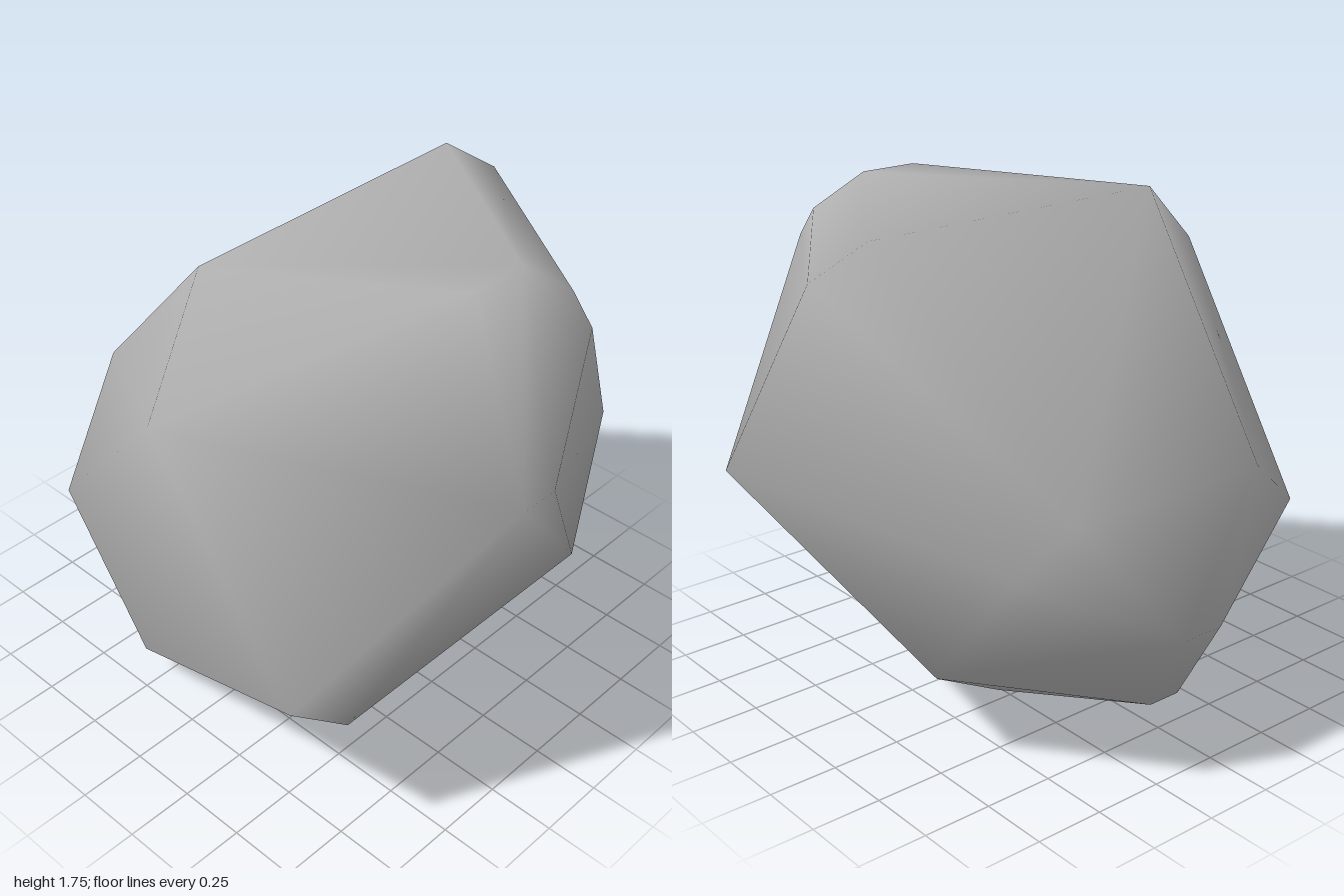
import * as THREE from 'three';
import { ConvexGeometry } from 'three/addons/geometries/ConvexGeometry.js';
import { mergeVertices } from 'three/addons/utils/BufferGeometryUtils.js';

// Rim corners of the boulder: x, y, then the back and front z of the corner's edge
const rim = [
  [-0.15, 1.725, -0.73, 0.47],
  [0.61, 1.745, -0.22, 0],
  [1, 1.21, 0.05, 0.2],
  [0.75, 0.49, -0.46, 0.72],
  [-0.2, 0, -0.26, 0.52],
  [-0.69, 0.055, 0.02, 0.15],
  [-1, 0.485, -0.14, 0.02],
  [-0.9, 0.955, -0.52, 0.27],
];

// Corners of the chipped front and back
const front = [[0.07, 1.43, 0.9], [0.67, 0.61, 0.9], [-0.69, 0.65, 0.69], [-0.3, 0.12, 0.7]];
const back = [[-0.06, 1.6, -0.9], [0.53, 0.79, -0.9], [-0.82, 0.8, -0.7], [-0.42, 0.3, -0.7],
  [0.78, 1.51, -0.39], [0.7, 1.62, -0.38]];

// Convex body with normals smoothed across shared corners
function smoothHull(points) {
  let geometry = new ConvexGeometry(points);
  geometry.deleteAttribute('normal');
  geometry = mergeVertices(geometry, 1e-4);
  geometry.computeVertexNormals();
  return geometry;
}

export function createModel() {
  const model = new THREE.Group();
  model.name = 'rock';
  const stone = new THREE.MeshStandardMaterial({ color: 0xb0b0b0 });
  stone.name = 'grey stone';

  const points = [...front, ...back].map((p) => new THREE.Vector3(...p));
  for (const [x, y, zBack, zFront] of rim) {
    points.push(new THREE.Vector3(x, y, zBack), new THREE.Vector3(x, y, zFront));
  }

  const boulder = new THREE.Mesh(smoothHull(points), stone);
  boulder.name = 'boulder';
  model.add(boulder);
  return model;
}
